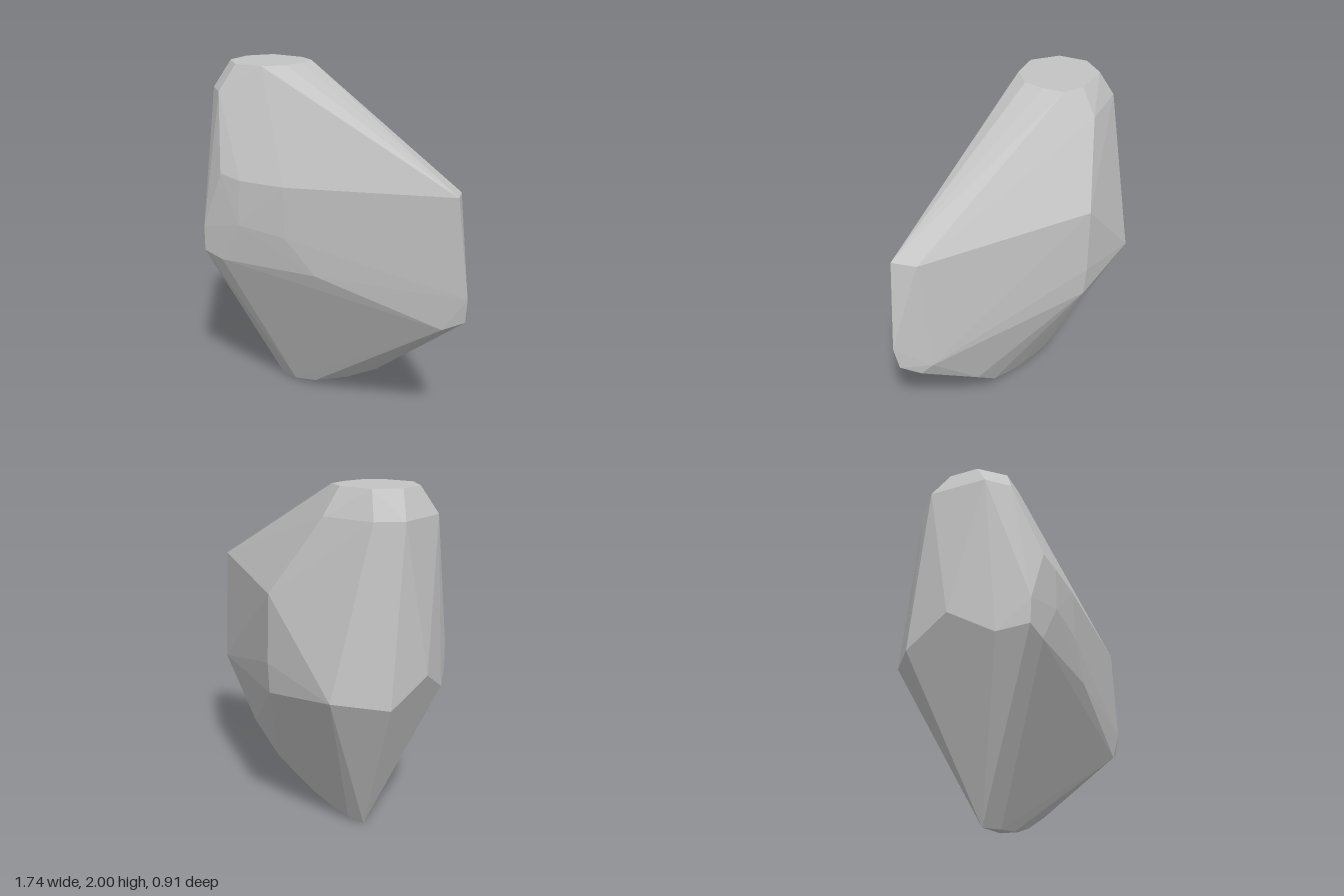
import * as THREE from 'three';
import { ConvexGeometry } from 'three/addons/geometries/ConvexGeometry.js';

// Corners of the boulder, grouped by region, as [x, y, z]
const crown = [[-0.62, -0.2], [-0.41, -0.18], [-0.31, -0.11], [-0.305, 0.01], [-0.33, 0.13],
  [-0.44, 0.22], [-0.61, 0.22], [-0.73, 0.09], [-0.73, -0.08]].map(([x, z]) => [x, 2, z]);

const shoulder = [[-0.8, 0.17], [-0.69, 0.28], [-0.8, -0.16], [-0.68, -0.27], [-0.37, -0.27]]
  .map(([x, z]) => [x, 1.85, z]);

const nose = [[0.795, 1.46, 0.37], [0.76, 1.45, 0.24], [0.865, 0.92, 0.37],
  [0.85, 0.78, 0.35], [0.75, 0.77, 0.2], [0.78, 0.71, 0.26], [0.73, 0.72, 0.37]];

const frontFace = [[-0.6, 1.42, 0.43], [-0.46, 1.4, 0.447], [-0.18, 1.4, 0.447], [-0.48, 1.14, 0.453],
  [-0.18, 1.11, 0.45], [-0.62, 0.9, 0.427], [0, 0.91, 0.432], [-0.75, 0.93, 0.41], [-0.745, 1.08, 0.415]];

const sideAndBack = [[-0.87, 1.02, 0], [-0.82, 0.88, 0.25], [-0.81, 0.88, -0.26],
  [-0.56, 0.92, -0.455], [-0.09, 1.42, -0.375], [-0.08, 1.03, -0.375], [-0.08, 0.85, -0.36]];

const keel = [[-0.47, 0, 0.03], [-0.35, 0.015, 0.08], [-0.38, 0.03, 0], [-0.27, 0.02, 0.04],
  [-0.2, 0.04, 0.09], [-0.1, 0.065, 0.065], [0.02, 0.115, 0.08], [0.22, 0.225, 0.09], [0.42, 0.415, 0.1]];

export function createModel() {
  const stone = new THREE.MeshStandardMaterial({ color: 0xc4c4c4 });
  stone.name = 'pale grey stone';

  // Faceted stone skin stretched over all the corners
  const corners = [crown, shoulder, nose, frontFace, sideAndBack, keel].flat()
    .map((p) => new THREE.Vector3(...p));
  const boulder = new THREE.Mesh(new ConvexGeometry(corners), stone);
  boulder.name = 'boulder';

  const group = new THREE.Group();
  group.name = 'rock';
  group.add(boulder);
  return group;
}
